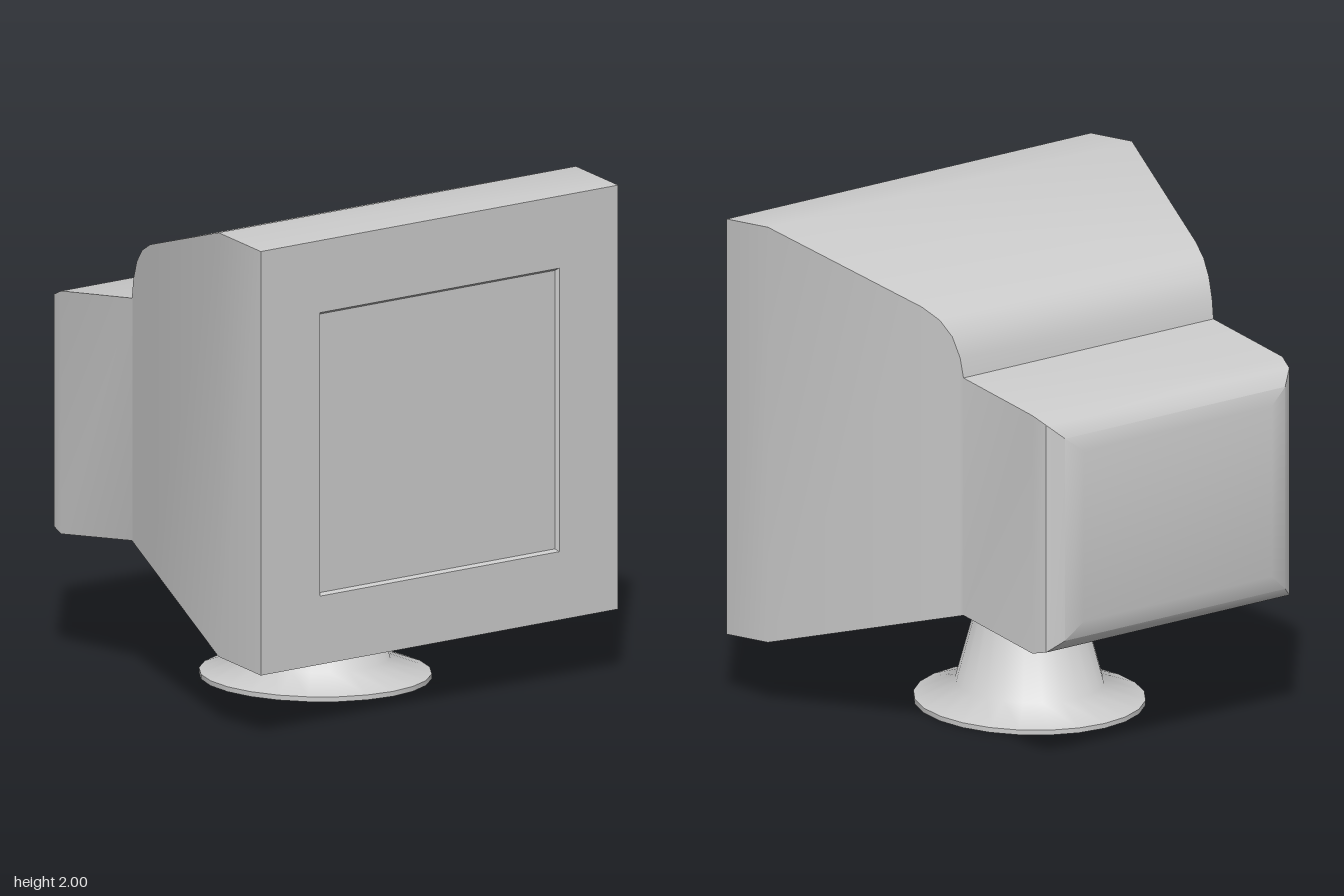
import * as THREE from 'three';
import { toCreasedNormals } from 'three/addons/utils/BufferGeometryUtils.js';

const material = new THREE.MeshStandardMaterial({ color: 0xcccccc });

// Skins rectangular sections [x, yBottom, yTop, zHalf] along x, with optional end caps
function loft(sections, capStart, capEnd, zOffset = 0) {
  const pos = [];
  const rings = sections.map(([x, b, t, h]) => [
    [x, b, zOffset + h], [x, t, zOffset + h], [x, t, zOffset - h], [x, b, zOffset - h],
  ]);
  const quad = (a, b, c, d) => pos.push(...a, ...b, ...c, ...a, ...c, ...d);
  for (let i = 0; i < rings.length - 1; i++) {
    for (let k = 0; k < 4; k++) {
      const n = (k + 1) % 4;
      quad(rings[i][k], rings[i + 1][k], rings[i + 1][n], rings[i][n]);
    }
  }
  const s = rings[0], e = rings[rings.length - 1];
  if (capStart) quad(s[3], s[0], s[1], s[2]);
  if (capEnd) quad(e[0], e[3], e[2], e[1]);
  const geometry = new THREE.BufferGeometry();
  geometry.setAttribute('position', new THREE.Float32BufferAttribute(pos, 3));
  return toCreasedNormals(geometry, 0.6);
}

function addMesh(group, name, geometry) {
  const mesh = new THREE.Mesh(geometry, material);
  mesh.name = name;
  group.add(mesh);
  return mesh;
}

export function createModel() {
  const group = new THREE.Group();
  group.name = 'monitor';

  // Flared part of the casing: straight bottom and sides, rounded step on top
  const flare = [
    [-0.285, 1.54], [-0.27, 1.62], [-0.235, 1.70], [-0.18, 1.757], [-0.10, 1.797], [0.59, 2.0],
  ].map(([x, top]) => {
    const t = (x + 0.285) / 0.875;
    return [x, THREE.MathUtils.lerp(0.565, 0.295, t), top, THREE.MathUtils.lerp(0.625, 0.91, t)];
  });

  // Casing from the rounded rear to the front bezel around the screen
  const screenEdge = [0.85, 0.54, 1.68, 0.61];
  addMesh(group, 'casing', loft([
    [-0.85, 0.65, 1.35, 0.47],
    [-0.832, 0.58, 1.41, 0.55],
    [-0.785, 0.532, 1.465, 0.608],
    [-0.72, 0.515, 1.492, 0.625],
    ...flare,
    [0.85, 0.265, 1.97, 0.91],
    screenEdge,
  ], true, false));

  // Shallow recessed screen
  addMesh(group, 'screen', loft([screenEdge, [0.835, 0.55, 1.67, 0.6]], false, true));

  // Flared pedestal, slightly narrower from side to side
  const profile = [[0, 0], [0.474, 0], [0.474, 0.02], [0.305, 0.08], [0.165, 0.58]]
    .map(([r, y]) => new THREE.Vector2(r, y));
  const stand = addMesh(group, 'stand', toCreasedNormals(new THREE.LatheGeometry(profile, 24), 1.0));
  stand.position.set(0.1, 0, 0.01);
  stand.scale.z = 0.94;

  return group;
}
